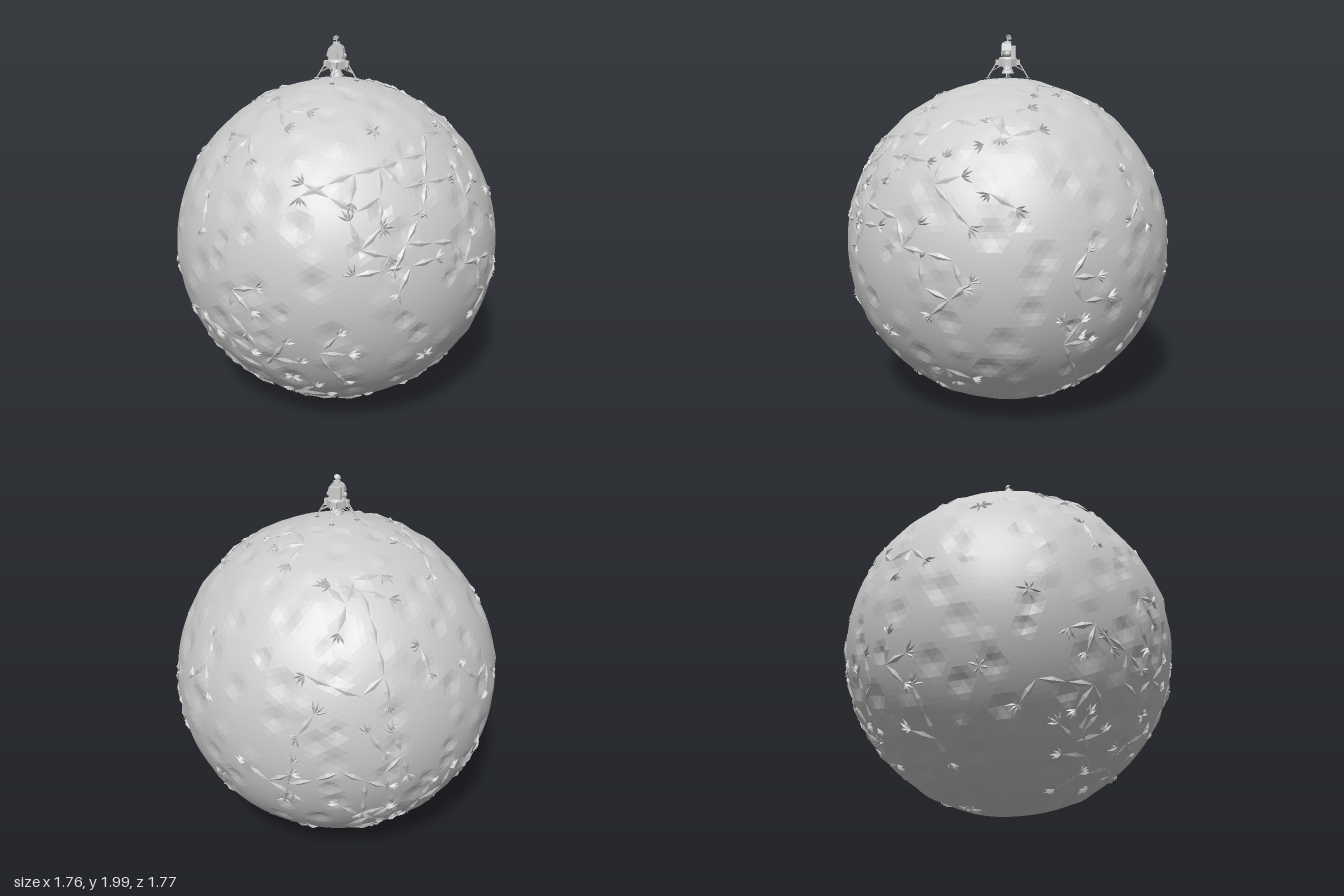
import * as THREE from 'three';
import { mergeGeometries } from 'three/addons/utils/BufferGeometryUtils.js';

const V = (x, y, z) => new THREE.Vector3(x, y, z);
const R = 0.878, CY = 0.888, UP = V(0, 1, 0);
const grey = new THREE.MeshStandardMaterial({ color: 0xcccccc, flatShading: true });
const greyDouble = new THREE.MeshStandardMaterial({ color: 0xcccccc, flatShading: true, side: THREE.DoubleSide });

// Small seeded generator
let seed = 7;
const rnd = () => (seed = (seed * 16807) % 2147483647) / 2147483647;

// Evenly spread unit directions with a little jitter
function spread(count) {
  return Array.from({ length: count }, (_, i) => {
    const y = 1 - (2 * (i + 0.5)) / count, a = i * 2.39996 + rnd() * 0.3;
    const r = Math.sqrt(1 - y * y);
    return V(r * Math.cos(a), y, r * Math.sin(a));
  });
}

// Scattered shallow dents and bumps
const dents = spread(230).map((p) => ({ p, w: 0.05 + rnd() * 0.05, h: rnd() < 0.65 ? -0.016 : 0.009 }));

function surfaceRadius(d) {
  if (d.y > 0.985) return R + 0.008;
  let h = R + 0.003 * Math.sin(7 * d.x + 3 * d.y) * Math.sin(8 * d.z + 5 * d.x);
  for (const c of dents) {
    const dist = d.distanceTo(c.p);
    if (dist < c.w) h += c.h * (1 - dist / c.w);
  }
  return h;
}

// Flat four-sided sliver lying on the ball between unit directions a and b
function sliver(a, b, width) {
  const mid = a.clone().add(b).normalize(), along = b.clone().sub(a);
  const len = along.length() * R;
  along.normalize();
  const m = new THREE.Matrix4().makeBasis(along, mid, along.clone().cross(mid));
  m.setPosition(mid.clone().multiplyScalar(surfaceRadius(mid) + 0.001));
  return new THREE.OctahedronGeometry(1).scale(len / 2, 0.011, width / 2).applyMatrix4(m);
}

// Point reached by walking from p along a tangent heading
const step = (p, heading, dist) => p.clone().addScaledVector(heading, dist).normalize();
// Heading made tangent at p
const tangent = (h, p) => h.clone().addScaledVector(p, -h.dot(p)).normalize();

// Large crack clusters: longitude from the front, latitude (degrees), number of links
const clusters = [
  [4, -37, 10], [105, 58, 10], [191, 55, 7], [31, 11, 7], [117, -16, 7],
  [212, 8, 8], [176, -20, 6], [61, 35, 6], [-36, -15, 5],
];

function crackGeometry() {
  const out = [];
  // Thin rays spreading from a point around a heading
  const fan = (p, heading, angle, count) => {
    for (let i = 0; i < count; i++) {
      const h = heading.clone().applyAxisAngle(p, (i / (count - 1) - 0.5) * angle);
      out.push(sliver(p, step(p, h, 0.05 + rnd() * 0.03), 0.013));
    }
  };
  // Chain of links turning by about 60 degrees, with a fan at each loose end
  const walk = (start, links) => {
    let p = start;
    let heading = tangent(V(rnd() - 0.5, rnd() - 0.5, rnd() - 0.5), p);
    if (links === 0) return fan(p, heading, 5, 6);
    fan(p, heading.clone().negate(), 1.5, 4);
    for (let i = 0; i < links; i++) {
      const next = step(p, heading, 0.16);
      out.push(sliver(p, next, 0.034));
      // Side branch on longer chains
      if (i % 3 === 1) {
        const side = heading.clone().applyAxisAngle(p, Math.PI / 3);
        const end = step(p, side, 0.16);
        out.push(sliver(p, end, 0.034));
        fan(end, tangent(side, end), 1.5, 4);
      }
      p = next;
      const turn = (Math.floor(rnd() * 3) - 1) * 1.05 + (rnd() - 0.5) * 0.2;
      heading = tangent(heading, p).applyAxisAngle(p, turn);
    }
    fan(p, heading, 1.5, 4);
  };
  for (const [lon, lat, links] of clusters) {
    const start = V(0, 0, 0).setFromSphericalCoords(
      1, THREE.MathUtils.degToRad(90 - lat), THREE.MathUtils.degToRad(lon));
    walk(start, links);
  }
  // Shorter chains and lone stars over the rest of the ball, clear of the landing site
  for (const p of spread(42)) if (p.y < 0.96) walk(p, Math.floor(rnd() * 4));
  return mergeGeometries(out);
}

function add(group, name, geo, x = 0, y = 0, z = 0, mat = grey) {
  const mesh = new THREE.Mesh(geo, mat);
  mesh.name = name;
  mesh.position.set(x, y, z);
  group.add(mesh);
  return mesh;
}

function strut(group, name, a, b, r) {
  const mesh = add(group, name, new THREE.CylinderGeometry(r, r, a.distanceTo(b), 6));
  mesh.position.copy(a).add(b).multiplyScalar(0.5);
  mesh.quaternion.setFromUnitVectors(UP, b.clone().sub(a).normalize());
}

// Four-legged landing craft, built from its ground level up
function buildLander() {
  const g = new THREE.Group();
  g.name = 'lander';
  add(g, 'engineNozzle', new THREE.CylinderGeometry(0.016, 0.035, 0.04, 12, 1, true), 0, 0.045, 0, greyDouble);
  add(g, 'descentStage', new THREE.CylinderGeometry(0.052, 0.052, 0.038, 8).rotateY(Math.PI / 8), 0, 0.082, 0);
  add(g, 'deck', new THREE.CylinderGeometry(0.044, 0.05, 0.012, 16), 0, 0.106, 0);
  for (let i = 0; i < 4; i++) {
    const leg = new THREE.Group();
    leg.name = 'leg';
    leg.rotation.y = (i * Math.PI) / 2;
    add(leg, 'legHousing', new THREE.BoxGeometry(0.022, 0.03, 0.03), 0.054, 0.085, 0);
    strut(leg, 'mainStrut', V(0.062, 0.08, 0), V(0.107, 0.008, 0), 0.004);
    for (const s of [-1, 1]) strut(leg, 'sideStrut', V(0.04, 0.065, 0.025 * s), V(0.088, 0.038, 0), 0.0025);
    add(leg, 'footPad', new THREE.CylinderGeometry(0.015, 0.011, 0.008, 10), 0.107, 0.004, 0);
    g.add(leg);
  }
  add(g, 'cabin', new THREE.CylinderGeometry(0.043, 0.043, 0.05, 12).rotateX(Math.PI / 2), 0, 0.146, 0.006);
  add(g, 'cabinRear', new THREE.BoxGeometry(0.058, 0.062, 0.028), 0, 0.142, -0.028);
  add(g, 'hatch', new THREE.BoxGeometry(0.022, 0.026, 0.008), 0, 0.13, 0.033);
  for (const s of [-1, 1]) add(g, 'sideTank', new THREE.SphereGeometry(0.016, 10, 8), 0.038 * s, 0.128, 0);
  add(g, 'dockingRing', new THREE.CylinderGeometry(0.018, 0.02, 0.012, 12), 0, 0.191, 0);
  strut(g, 'antennaMast', V(0, 0.19, 0), V(0, 0.215, 0), 0.004);
  const dish = add(g, 'antennaDish', new THREE.SphereGeometry(0.02, 12, 5, 0, Math.PI * 2, 0, 1.2), 0, 0.21, 0, greyDouble);
  dish.rotation.set(-0.5, 0, 0.5);
  return g;
}

export function createModel() {
  const model = new THREE.Group();
  model.name = 'moonWithLander';

  // Pitted ball
  const ball = new THREE.IcosahedronGeometry(1, 30);
  const pos = ball.attributes.position, p = V(0, 0, 0);
  for (let i = 0; i < pos.count; i++) {
    p.fromBufferAttribute(pos, i).normalize();
    p.multiplyScalar(surfaceRadius(p));
    pos.setXYZ(i, p.x, p.y, p.z);
  }
  ball.computeVertexNormals();
  add(model, 'moon', ball, 0, CY, 0);
  add(model, 'surfaceCracks', crackGeometry(), 0, CY, 0);

  const lander = buildLander();
  lander.position.y = CY + R + 0.006;
  model.add(lander);
  return model;
}
